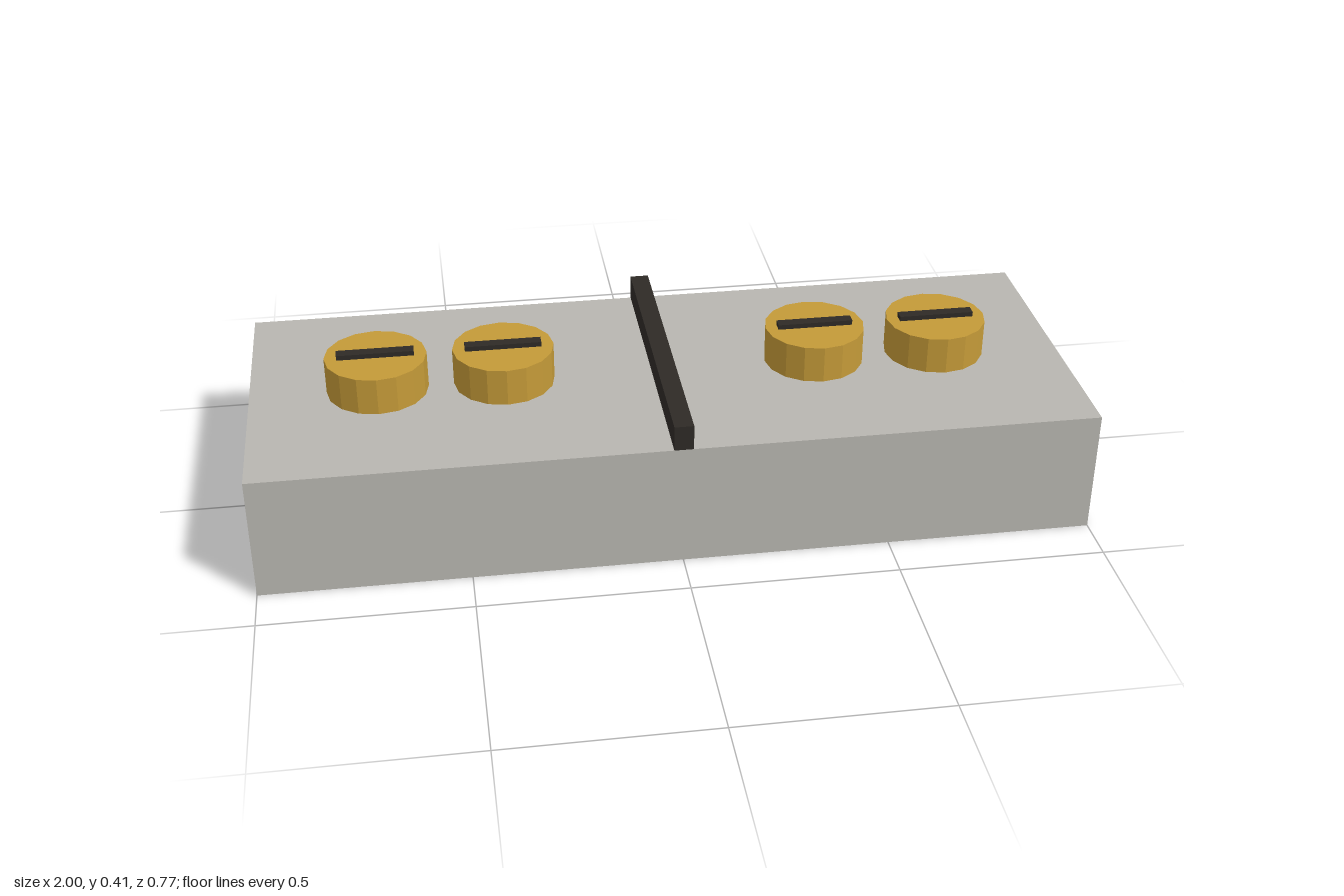
import * as THREE from 'three';

const BODY = { length: 2, height: 0.308, depth: 0.769 };
const SCREW = { radius: 0.123, height: 0.092, sides: 16 };
const SLOT = { length: 0.185, height: 0.024, width: 0.027 };

function addPart(parent, name, geometry, color, x, y, z) {
  const material = new THREE.MeshStandardMaterial({ color, flatShading: true });
  const mesh = new THREE.Mesh(geometry, material);
  mesh.name = name;
  mesh.position.set(x, y, z);
  parent.add(mesh);
  return mesh;
}

// Terminal screw with a dark slot bar standing slightly proud of its head
function createScrew(name, x) {
  const screw = new THREE.Group();
  screw.name = name;
  screw.position.set(x, BODY.height, 0);
  addPart(screw, 'screwHead',
    new THREE.CylinderGeometry(SCREW.radius, SCREW.radius, SCREW.height, SCREW.sides),
    0xc49a38, 0, SCREW.height / 2, 0);
  addPart(screw, 'screwSlot',
    new THREE.BoxGeometry(SLOT.length, SLOT.height, SLOT.width),
    0x2e2a26, 0, SCREW.height, 0);
  return screw;
}

export function createModel() {
  const model = new THREE.Group();
  model.name = 'terminalBlock';

  // Solid base block
  addPart(model, 'base',
    new THREE.BoxGeometry(BODY.length, BODY.height, BODY.depth),
    0xb8b6b0, 0, BODY.height / 2, 0);

  // Divider ridge across the middle
  const ridge = 0.062;
  addPart(model, 'divider',
    new THREE.BoxGeometry(0.046, ridge, BODY.depth),
    0x2e2a26, 0, BODY.height + ridge / 2, 0);

  // Two screws on each side
  for (const [side, sign] of [['left', 1], ['right', -1]]) {
    model.add(createScrew(`${side}InnerScrew`, sign * 0.385));
    model.add(createScrew(`${side}OuterScrew`, sign * 0.692));
  }
  return model;
}
